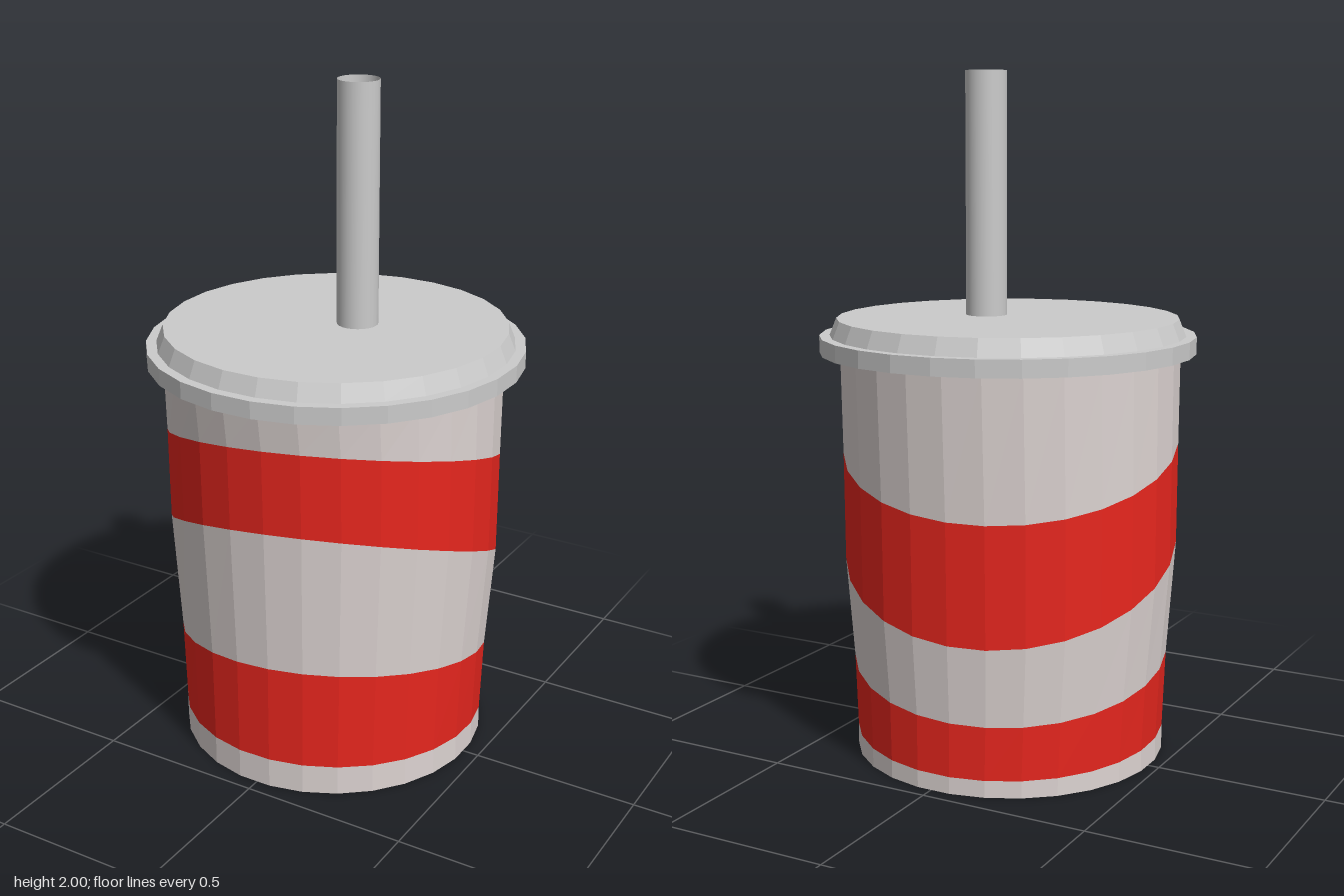
import * as THREE from 'three';

const SIDES = 28;
const STEP = (Math.PI * 2) / SIDES;

// Cup rings from bottom to top: mean height, tilt towards front and left, radii in x and z
const RINGS = [
  { y: 0, front: 0, left: 0, rx: 0.46, rz: 0.46 },
  { y: 0.07, front: 0.02, left: 0.005, rx: 0.46, rz: 0.46 },
  { y: 0.3, front: 0.09, left: 0.03, rx: 0.47, rz: 0.46 },
  { y: 0.63, front: 0.19, left: 0.055, rx: 0.496, rz: 0.475 },
  { y: 0.93, front: 0.14, left: 0.045, rx: 0.497, rz: 0.48 },
  { y: 1.2, front: 0, left: 0, rx: 0.497, rz: 0.497 },
];

function ringPoint(ring, i) {
  const s = Math.sin((i + 0.5) * STEP), c = Math.cos((i + 0.5) * STEP);
  return [-0.008 + ring.rx * s, ring.y + ring.front * c + ring.left * s, ring.rz * c];
}

// Wall between two tilted rings
function bandGeometry(lower, upper) {
  const positions = [], index = [];
  for (let i = 0; i <= SIDES; i++) {
    positions.push(...ringPoint(lower, i), ...ringPoint(upper, i));
    if (i < SIDES) {
      const a = i * 2;
      index.push(a, a + 2, a + 3, a, a + 3, a + 1);
    }
  }
  const geometry = new THREE.BufferGeometry();
  geometry.setAttribute('position', new THREE.Float32BufferAttribute(positions, 3));
  geometry.setIndex(index);
  geometry.computeVertexNormals();
  return geometry;
}

export function createModel() {
  const group = new THREE.Group();
  const paper = new THREE.MeshStandardMaterial({ color: 0xddd4d2, flatShading: true, side: THREE.DoubleSide });
  const red = new THREE.MeshStandardMaterial({ color: 0xe8261e, flatShading: true, side: THREE.DoubleSide });
  const grey = new THREE.MeshStandardMaterial({ color: 0xcccccc, flatShading: true });
  const strawGrey = new THREE.MeshStandardMaterial({ color: 0xcccccc, side: THREE.DoubleSide });

  const add = (name, geometry, material, parent = group) => {
    const mesh = new THREE.Mesh(geometry, material);
    mesh.name = name;
    parent.add(mesh);
    return mesh;
  };

  // Tapered cup with two slanted red stripes
  const cup = new THREE.Group();
  cup.name = 'cup';
  group.add(cup);
  const names = ['cupFoot', 'lowerStripe', 'cupMiddle', 'upperStripe', 'cupTop'];
  names.forEach((name, i) => {
    add(name, bandGeometry(RINGS[i], RINGS[i + 1]), i % 2 ? red : paper, cup);
  });

  // Cup base, facing down
  const base = new THREE.CircleGeometry(0.46, SIDES, STEP / 2);
  base.rotateX(Math.PI / 2);
  add('cupBase', base, paper, cup).position.x = -0.008;

  // Lid: wide rim and a bevelled raised top
  const rim = new THREE.CylinderGeometry(0.55, 0.55, 0.05, SIDES, 1, false, STEP / 2);
  add('lidRim', rim, grey).position.y = 1.22;
  const top = new THREE.CylinderGeometry(0.5, 0.52, 0.05, SIDES, 1, false, STEP / 2);
  add('lidTop', top, grey).position.y = 1.27;

  // Open straw, slightly off centre
  const straw = new THREE.CylinderGeometry(0.06, 0.06, 0.7, 24, 1, true);
  add('straw', straw, strawGrey).position.set(0.06, 1.65, -0.02);

  return group;
}
